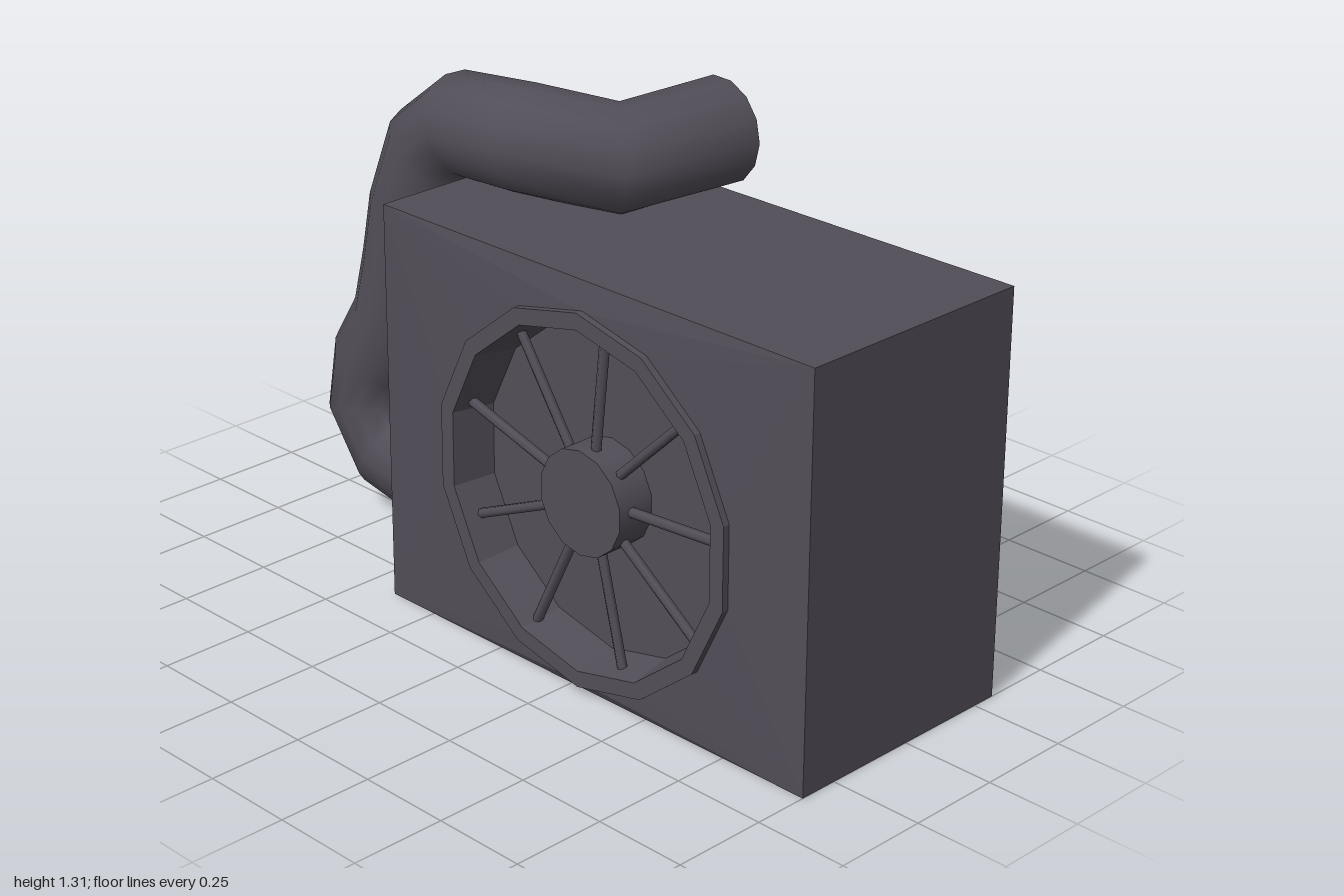
import * as THREE from 'three';

const darkGrey = new THREE.MeshStandardMaterial({ color: 0x524e58 });
darkGrey.name = 'darkGrey';
const darkGreyOpen = darkGrey;
darkGreyOpen.side = THREE.DoubleSide;

function faceted(geometry) {
  const g = geometry.index ? geometry.toNonIndexed() : geometry;
  g.computeVertexNormals();
  return g;
}

function addMesh(parent, name, geometry) {
  const mesh = new THREE.Mesh(geometry, darkGrey);
  mesh.name = name;
  parent.add(mesh);
  return mesh;
}

// Sweep a circle along a list of centres, one ring per centre
function sweep(centres, radius, sides) {
  const pts = centres.map((c) => new THREE.Vector3(...c));
  const positions = [], index = [];
  const u = new THREE.Vector3(1, 0, 0);
  pts.forEach((p, i) => {
    const before = pts[Math.max(i - 1, 0)], after = pts[Math.min(i + 1, pts.length - 1)];
    const t = new THREE.Vector3();
    if (i > 0) t.add(p.clone().sub(before).normalize());
    if (i < pts.length - 1) t.add(after.clone().sub(p).normalize());
    t.normalize();
    u.addScaledVector(t, -u.dot(t)).normalize();
    const v = t.clone().cross(u);
    for (let k = 0; k < sides; k++) {
      const a = (k / sides) * Math.PI * 2;
      const q = p.clone().addScaledVector(u, Math.cos(a) * radius).addScaledVector(v, Math.sin(a) * radius);
      positions.push(q.x, q.y, q.z);
      if (i < pts.length - 1) {
        const n = (k + 1) % sides, r = i * sides;
        const A = r + k, B = r + n, C = A + sides, D = B + sides;
        index.push(A, B, D, A, D, C);
      }
    }
  });
  const g = new THREE.BufferGeometry();
  g.setAttribute('position', new THREE.Float32BufferAttribute(positions, 3));
  g.setIndex(index);
  g.computeVertexNormals();
  return g;
}

export function createModel() {
  const model = new THREE.Group();
  model.name = 'fanHeater';

  // Housing: a box without its fan side
  const box = new THREE.BoxGeometry(0.67, 1.055, 1.4);
  box.setIndex([...box.index.array].filter((_, i) => i < 6 || i >= 12));
  box.clearGroups();
  box.translate(-0.02, 0.5275, 0.3);
  addMesh(model, 'housing', box);

  // Fan side is built facing +z, then turned to face -x
  const fan = new THREE.Group();
  fan.name = 'fanAssembly';
  fan.position.set(0, 0.5025, 0.3);
  fan.rotation.y = -Math.PI / 2;
  model.add(fan);

  // Side plate, pushed out slightly around the fan opening
  const SIDES = 14, R = 0.4825;
  const plate = new THREE.Shape([[-0.7, -0.5025], [0.7, -0.5025], [0.7, 0.5525], [-0.7, 0.5525]]
    .map(([x, y]) => new THREE.Vector2(x, y)));
  const hole = [];
  for (let i = 0; i < SIDES; i++) {
    const a = (-i / SIDES) * Math.PI * 2;
    hole.push(new THREE.Vector2(Math.sin(a) * 0.48, Math.cos(a) * 0.48));
  }
  plate.holes.push(new THREE.Path(hole));
  const plateGeo = new THREE.ShapeGeometry(plate);
  const pos = plateGeo.attributes.position;
  for (let i = 0; i < pos.count; i++) {
    pos.setZ(i, Math.hypot(pos.getX(i), pos.getY(i)) < 0.49 ? 0.367 : 0.355);
  }
  addMesh(fan, 'sidePlate', faceted(plateGeo));

  // Rim with the recess behind it
  const profile = [[R, 0.355], [R, 0.385], [0.44, 0.385], [0.42, 0.27], [0.0001, 0.27]]
    .map(([r, d]) => new THREE.Vector2(r, d));
  const rim = new THREE.LatheGeometry(profile, SIDES);
  rim.rotateX(Math.PI / 2);
  addMesh(fan, 'fanRimAndRecess', faceted(rim));

  // Hub and spokes
  const hub = new THREE.CylinderGeometry(0.135, 0.135, 0.105, SIDES);
  hub.rotateX(Math.PI / 2);
  addMesh(fan, 'fanHub', hub).position.z = 0.3225;
  for (let i = 0; i < 9; i++) {
    const spoke = new THREE.CylinderGeometry(0.013, 0.013, 0.32, 6);
    spoke.translate(0, 0.275, 0);
    const mesh = addMesh(fan, 'fanSpoke', spoke);
    mesh.position.z = 0.335;
    mesh.rotation.z = (i * 40 - 6) * Math.PI / 180;
  }

  // Bent duct from the back, up and over the top, open at its end
  addMesh(model, 'duct', sweep([
    [0, 0.155, -0.36], [0, 0.147, -0.57], [0, 0.178, -0.775], [0, 0.295, -0.86],
    [0, 0.43, -0.83], [0, 0.565, -0.745], [0, 0.73, -0.70], [0, 0.89, -0.667],
    [0.01, 1.06, -0.61], [0.015, 1.145, -0.5], [-0.02, 1.18, -0.24],
    [0.05, 1.172, 0], [0.385, 1.168, 0.015],
  ], 0.138, 14));

  return model;
}
